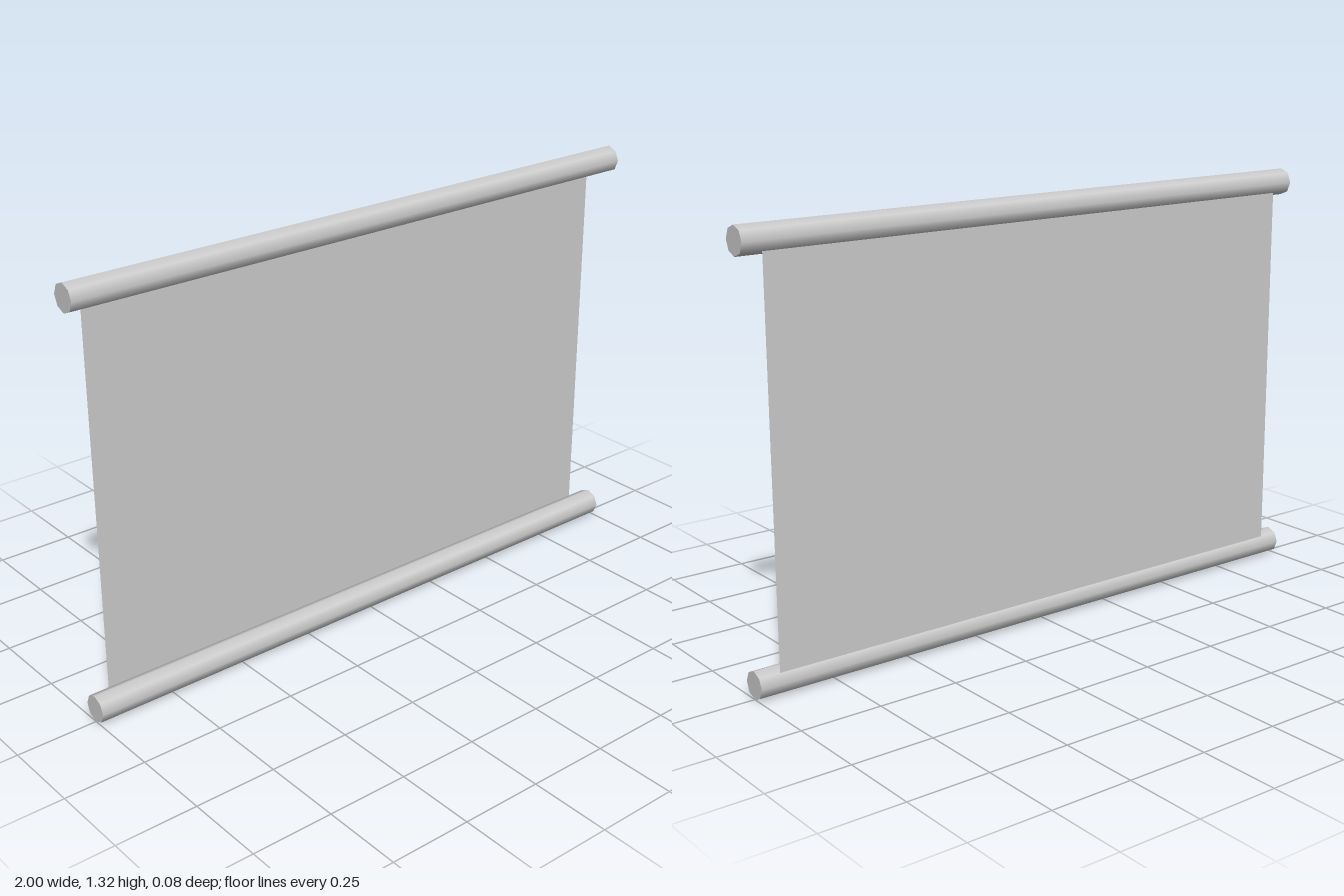
import * as THREE from 'three';

export function createModel() {
  const model = new THREE.Group();
  model.name = 'hangingScroll';

  const grey = new THREE.MeshStandardMaterial({ color: 0xcccccc, side: THREE.DoubleSide });
  grey.name = 'plain grey';

  const radius = 0.042, height = 1.316;
  const flank = radius * Math.SQRT1_2; // where the sheet meets a corner of the octagon

  // Two eight-sided rods, smooth round the sides with flat ends
  const rodGeometry = new THREE.CylinderGeometry(radius, radius, 2, 8);
  rodGeometry.rotateZ(Math.PI / 2);
  for (const [name, y] of [['bottomRod', radius], ['topRod', height - radius]]) {
    const rod = new THREE.Mesh(rodGeometry, grey);
    rod.name = name;
    rod.position.y = y;
    model.add(rod);
  }

  // Flat sheet stretched between the rear sides of the rods
  const sheetHeight = height - 2 * radius - 2 * flank;
  const sheet = new THREE.Mesh(new THREE.PlaneGeometry(1.87, sheetHeight), grey);
  sheet.name = 'sheet';
  sheet.position.set(0, height / 2, -flank);
  model.add(sheet);

  return model;
}
